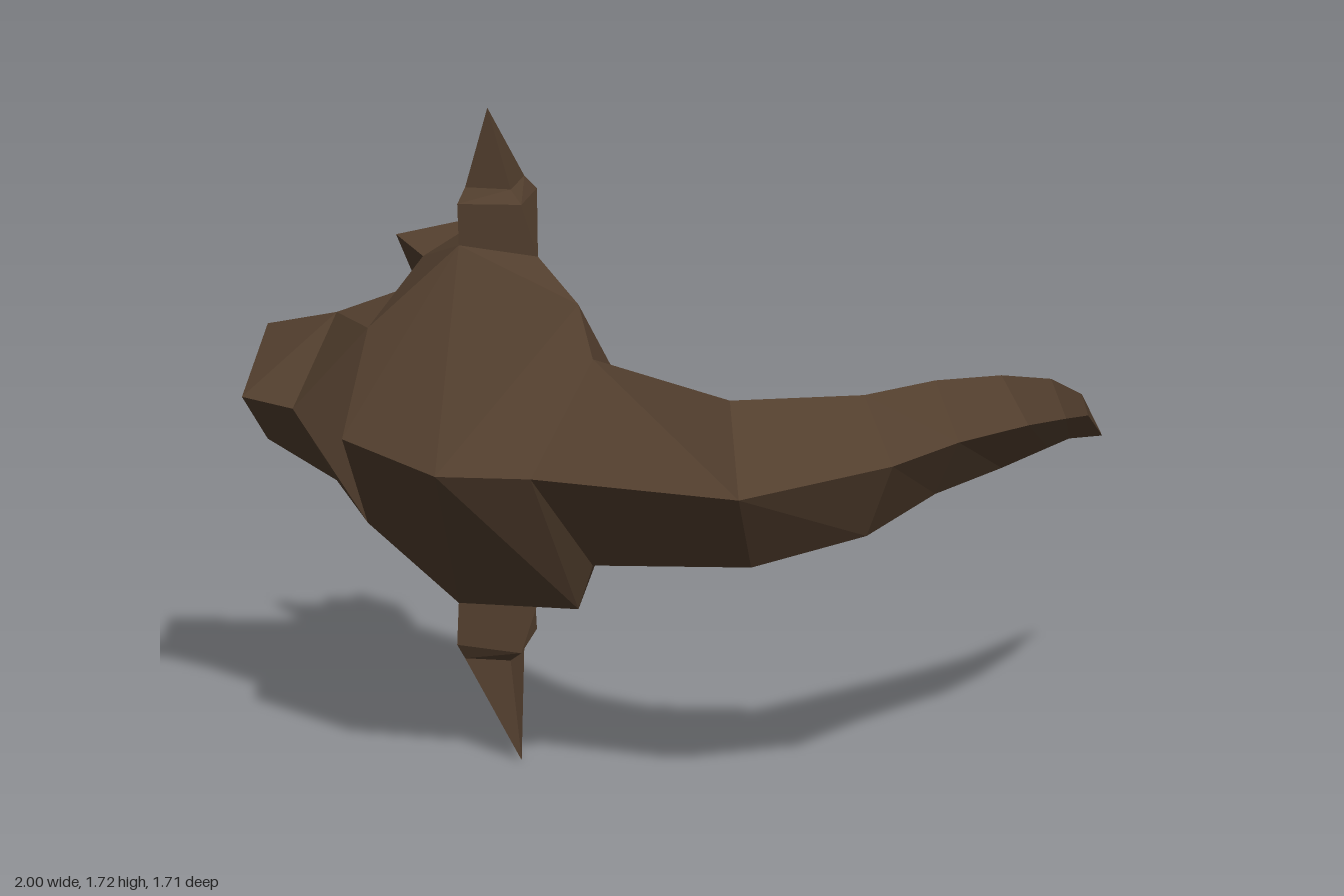
import * as THREE from 'three';

const MIRROR = 1.755; // top and bottom halves mirror as y -> MIRROR - y

// corners on the mid ridge
const mid = {
  I: [-0.28, 0.895, -0.37], J: [-0.31, 0.89, 0.09], Q: [-0.30, 0.88, 0.20],
  K: [-0.78, 0.88, 0.23], L: [-0.97, 0.885, 0.08], M: [-1, 0.905, -0.27],
  N: [-0.93, 0.9, -0.57], O: [-0.97, 0.9, -0.73], P: [-0.54, 0.9, -0.77],
};

// corners of the upper half
const upper = {
  a: [-0.56, 1.15, 0.20], b: [-0.56, 1.28, 0.14],                              // horn root
  c: [-0.50, 1.335, -0.11], d: [-0.63, 1.35, -0.27], e: [-0.38, 1.17, -0.30], i: [-0.43, 1.36, -0.41], // spike base
  f: [-0.82, 1.135, -0.40], g: [-0.73, 1.10, -0.65], h: [-0.79, 1.03, -0.86],  // back and stump
  q: [-0.42, 1.23, -0.48], j: [-0.55, 1.165, -0.55], s: [-0.60, 1.27, -0.46], t: [-0.58, 1.29, -0.60], // spur
};

const flip = ([x, y, z]) => [x, MIRROR - y, z];
const top = { ...mid, ...upper };
const bottom = { ...mid };
for (const k in upper) bottom[k] = flip(upper[k]);

// triangles from words of three corner letters, reversed for the mirrored half
function faces(words, corners, reversed) {
  return words.split(' ').map((w) => {
    const tri = [...w].map((k) => corners[k]);
    return reversed ? tri.reverse() : tri;
  });
}

// skin between matching rings, closed to a point at the end
function loft(rings, tip) {
  const tris = [];
  const n = rings[0].length;
  rings.forEach((r, k) => {
    const next = rings[k + 1];
    for (let u = 0; u < n; u++) {
      const v = (u + 1) % n;
      if (next) tris.push([r[u], r[v], next[v]], [r[u], next[v], next[u]]);
      else tris.push([r[u], r[v], tip]);
    }
  });
  return tris;
}

export function createModel() {
  const group = new THREE.Group();
  const darkBrown = new THREE.MeshStandardMaterial({ color: 0x54402f, flatShading: true });
  darkBrown.name = 'darkBrown';

  function add(name, tris) {
    const geo = new THREE.BufferGeometry();
    geo.setAttribute('position', new THREE.Float32BufferAttribute(tris.flat(2), 3));
    geo.computeVertexNormals();
    const mesh = new THREE.Mesh(geo, darkBrown);
    mesh.name = name;
    group.add(mesh);
  }

  // body: inner side, stump end, outer side, top
  const shell = 'JaQ Jba JIe Jec Jcb Iqe eqi Ijq Igj Ihg IPh POh '
    + 'ONg Ogh Nfg Mdf MLd Lbd LKb Kab bcd dis dsf fsj fjg';
  add('body', [
    ...faces(shell, top, false),
    ...faces(shell, bottom, true),
    [mid.N, bottom.f, top.f], [mid.M, top.f, bottom.f],
  ]);

  // curved horn: rings of inner, top, outer, bottom corners
  add('horn', loft([
    [mid.Q, top.a, mid.K, bottom.a],
    [[-0.24, 0.88, 0.37], [-0.42, 1.11, 0.59], [-0.49, 0.89, 0.72], [-0.36, 0.66, 0.60]],
    [[-0.09, 0.90, 0.57], [-0.10, 1.10, 0.73], [-0.10, 0.94, 0.85], [-0.10, 0.73, 0.74]],
    [[0.10, 0.92, 0.61], [0.14, 1.09, 0.71], [0.14, 0.95, 0.81], [0.14, 0.79, 0.71]],
    [[0.34, 0.92, 0.63], [0.38, 1.05, 0.67], [0.39, 0.94, 0.77], [0.38, 0.805, 0.67]],
    [[0.53, 0.89, 0.57], [0.59, 0.985, 0.60], [0.60, 0.89, 0.65], [0.58, 0.805, 0.60]],
    [[0.70, 0.84, 0.47], [0.77, 0.885, 0.49], [0.76, 0.84, 0.53], [0.73, 0.775, 0.49]],
  ], [1, 0.68, 0.27]));

  // collared spikes above and below: rings of front, inner, back, outer corners
  const spike = [
    [upper.c, upper.e, upper.i, upper.d],
    [[-0.53, 1.47, -0.14], [-0.39, 1.46, -0.26], [-0.41, 1.46, -0.395], [-0.635, 1.46, -0.27]],
    [[-0.53, 1.50, -0.185], [-0.43, 1.50, -0.26], [-0.44, 1.49, -0.36], [-0.61, 1.50, -0.27]],
  ];
  add('upperSpike', loft(spike, [-0.585, 1.72, -0.21]));
  const lowerSpike = spike.map((r) => r.map(flip).reverse());
  add('lowerSpike', loft(lowerSpike, [-0.525, 0, -0.145]));

  // small spurs behind the spikes
  add('upperSpur', faces('iqt qjt jst sit', top, false));
  add('lowerSpur', faces('iqt qjt jst sit', bottom, true));

  return group;
}
